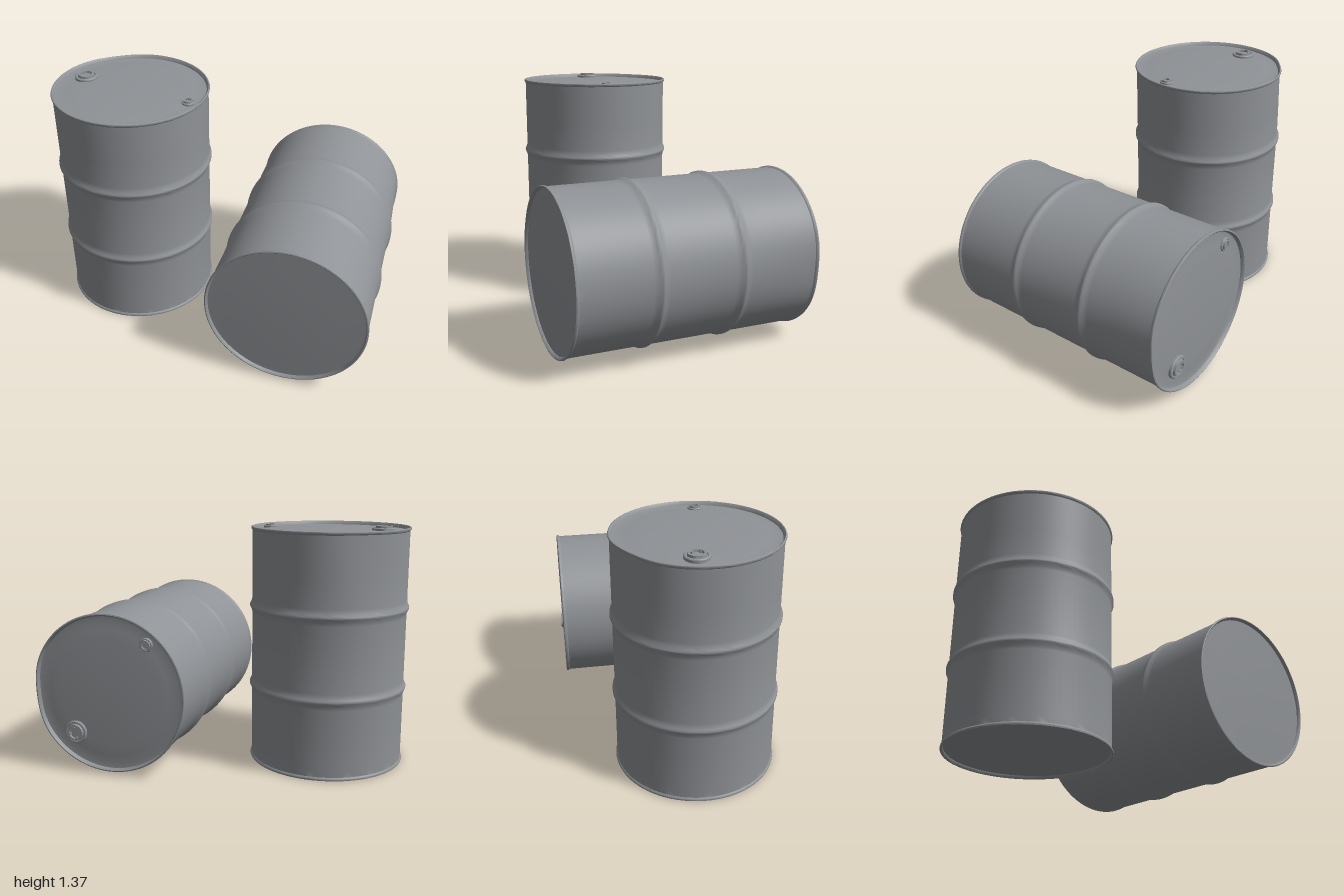
import * as THREE from 'three';
import { toCreasedNormals } from 'three/addons/utils/BufferGeometryUtils.js';

const steel = new THREE.MeshStandardMaterial({ color: 0x8f9296 });
steel.name = 'grey steel';

const lathe = (points, segments) =>
  new THREE.LatheGeometry(points.map(([r, y]) => new THREE.Vector2(r, y)), segments);

// Rolled hoop pressed outward from the wall, centred at height y
const hoop = (y) => [
  [0.441, y - 0.045], [0.443, y - 0.028], [0.449, y - 0.014], [0.454, y - 0.005],
  [0.454, y + 0.005], [0.449, y + 0.014], [0.443, y + 0.028], [0.441, y + 0.045],
];

// Whole shell: recessed base, lower rim, wall with two hoops, upper rim, dished lid
function shellGeometry() {
  const profile = [
    [0, 0.014], [0.3, 0.014], [0.41, 0.018], [0.432, 0.018], [0.436, 0.004],
    [0.441, 0], [0.447, 0.002], [0.449, 0.008], [0.447, 0.014], [0.441, 0.02], [0.441, 0.05],
    ...hoop(0.445), ...hoop(0.905),
    [0.441, 1.1], [0.441, 1.3], [0.441, 1.335], [0.447, 1.341], [0.449, 1.347],
    [0.447, 1.353], [0.441, 1.355], [0.436, 1.351], [0.431, 1.334],
    [0.41, 1.332], [0.36, 1.337], [0.3, 1.341], [0, 1.341],
  ];
  const geometry = lathe(profile, 80);

  // Shallow dent pushed into the upper rim
  const p = geometry.attributes.position;
  const dentAngle = Math.atan2(-0.37, -0.24);
  for (let i = 0; i < p.count; i++) {
    const x = p.getX(i), y = p.getY(i), z = p.getZ(i);
    const r = Math.hypot(x, z);
    if (r < 0.3 || y < 0.95) continue;
    let d = Math.atan2(z, x) - dentAngle;
    d = Math.atan2(Math.sin(d), Math.cos(d));
    const push = 0.014 * Math.exp(-((d / 0.33) ** 2))
      * THREE.MathUtils.smoothstep(y, 0.95, 1.34) * THREE.MathUtils.smoothstep(r, 0.3, 0.43);
    p.setXYZ(i, x * (1 - push / r), y, z * (1 - push / r));
  }
  return toCreasedNormals(geometry, 0.75);
}

// Screw plug: outer collar, groove and raised cap with grip lugs
function plug(name, radius, height) {
  const group = new THREE.Group();
  group.name = name;
  const body = lathe([
    [radius, -0.01], [radius, height * 0.45], [radius * 0.92, height * 0.62],
    [radius * 0.8, height * 0.62], [radius * 0.78, height * 0.4], [radius * 0.72, height * 0.4],
    [radius * 0.7, height], [radius * 0.52, height], [radius * 0.5, height * 0.5], [0, height * 0.5],
  ], 32);
  const collar = new THREE.Mesh(toCreasedNormals(body, 0.6), steel);
  collar.name = name + 'Body';
  group.add(collar);
  const lugGeometry = new THREE.BoxGeometry(radius * 0.14, height * 0.4, radius * 0.16);
  for (let i = 0; i < 4; i++) {
    const lug = new THREE.Mesh(lugGeometry, steel);
    const a = (i + 0.5) * Math.PI / 2;
    lug.name = name + 'Lug';
    lug.position.set(Math.cos(a) * radius * 0.46, height * 0.65, Math.sin(a) * radius * 0.46);
    lug.rotation.y = -a;
    group.add(lug);
  }
  return group;
}

function drum(name, shell) {
  const group = new THREE.Group();
  group.name = name;
  const body = new THREE.Mesh(shell, steel);
  body.name = 'drumShell';
  const large = plug('largePlug', 0.066, 0.026);
  large.position.set(-0.305, 1.339, -0.06);
  const small = plug('smallPlug', 0.038, 0.02);
  small.position.set(0.365, 1.335, 0.06);
  group.add(body, large, small);
  return group;
}

export function createModel() {
  const model = new THREE.Group();
  model.name = 'drums';
  const shell = shellGeometry();

  const standing = drum('standingDrum', shell);
  standing.position.set(-0.545, 0, 0.012);

  // Lying drum: rolled about its axis, lid facing the back
  const spun = drum('lyingDrum', shell);
  spun.rotation.y = THREE.MathUtils.degToRad(-119.3);
  const lying = new THREE.Group();
  lying.name = 'lyingDrumTilt';
  lying.add(spun);
  lying.rotation.x = -Math.PI / 2;
  lying.position.set(0.545, 0.467, 0.68);

  model.add(standing, lying);
  return model;
}
